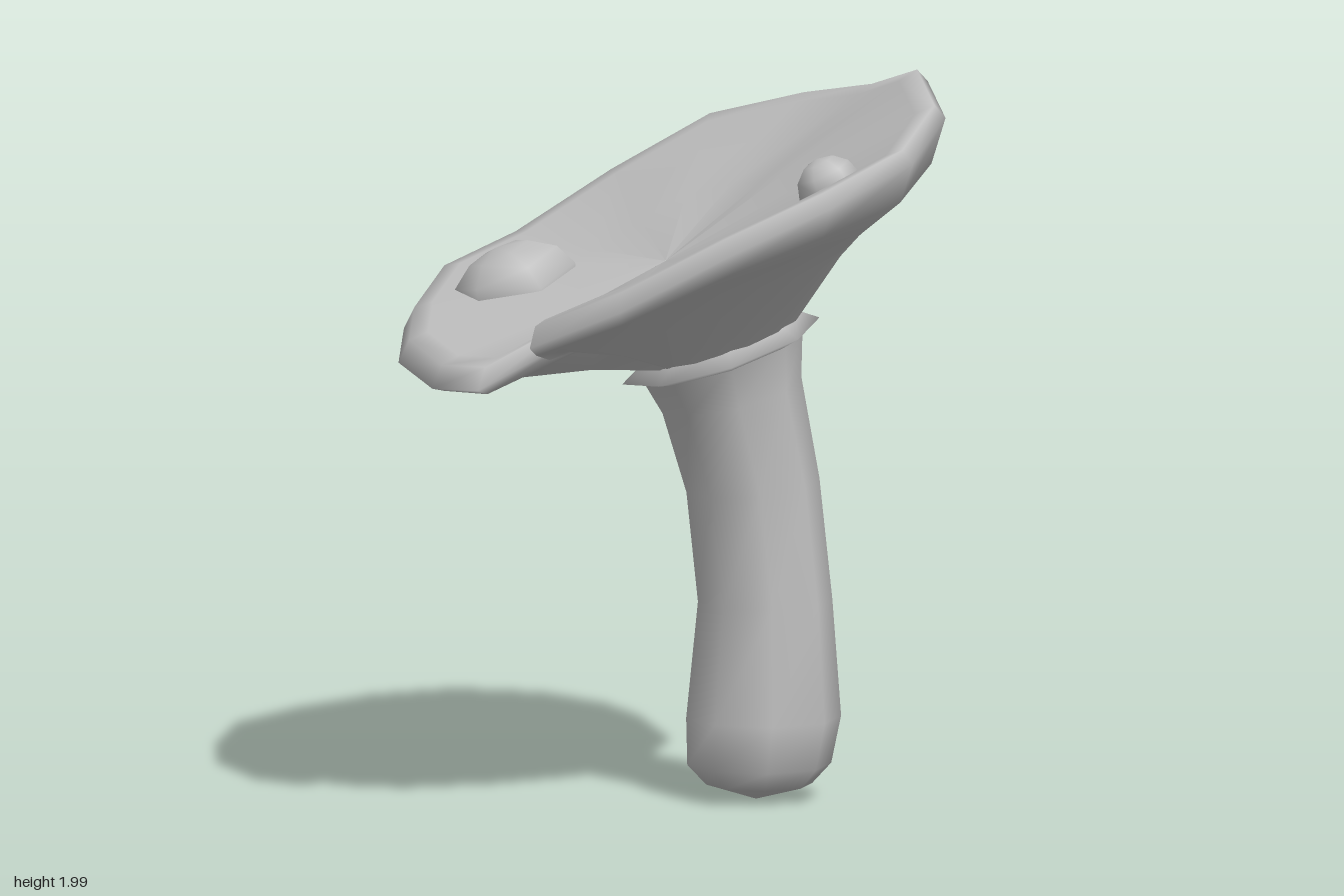
import * as THREE from 'three';

const V = (x, y, z) => new THREE.Vector3(x, y, z);

// Skin a list of equal-length rings, given bottom to top, counterclockwise from above
function loft(rings) {
  const n = rings[0].length, index = [];
  for (let i = 0; i < rings.length - 1; i++) {
    for (let j = 0; j < n; j++) {
      const k = (j + 1) % n;
      const a = i * n + j, b = i * n + k, c = a + n, d = b + n;
      index.push(a, b, d, a, d, c);
    }
  }
  const geo = new THREE.BufferGeometry().setFromPoints(rings.flat());
  geo.setIndex(index);
  geo.computeVertexNormals();
  return geo;
}

// Tilted circle: slopes sx and sz raise it towards +x and +z
function circle(x, y, z, r, sx = 0, sz = 0, sides = 8) {
  return Array.from({ length: sides }, (_, i) => {
    const a = ((i + 0.5) / sides) * Math.PI * 2;
    const dx = Math.cos(a) * r, dz = -Math.sin(a) * r;
    return V(x + dx, y + dx * sx + dz * sz, z + dz);
  });
}

// Cap edge, starting at the inner end of the notch
const RIM = [
  [-0.38, 1.35, 0.208], [-0.55, 1.33, 0.308], [-0.62, 1.35, 0.358], [-0.48, 1.47, 0.61],
  [-0.23, 1.63, 0.78], [0.045, 1.75, 0.85], [0.375, 1.83, 0.71], [0.61, 1.91, 0.47],
  [0.72, 1.965, 0.17], [0.75, 1.88, -0.15], [0.7, 1.82, -0.455], [0.53, 1.74, -0.7],
  [0.285, 1.58, -0.835], [-0.01, 1.42, -0.86], [-0.31, 1.36, -0.735], [-0.545, 1.29, -0.485],
  [-0.7, 1.24, -0.235], [-0.755, 1.21, 0.055], [-0.7, 1.22, 0.212],
].map((p) => V(...p));

export function createModel() {
  const model = new THREE.Group();
  const grey = new THREE.MeshStandardMaterial({ color: 0xc0c0c0 });
  const add = (name, geo) => {
    const mesh = new THREE.Mesh(geo, grey);
    mesh.name = name;
    model.add(mesh);
    return mesh;
  };

  // Bent stem with a swollen, rounded foot
  add('stem', loft([
    circle(0.27, 0.005, 0.02, 0.001),
    circle(0.28, 0.045, 0.02, 0.145),
    circle(0.28, 0.1, 0.02, 0.197),
    circle(0.288, 0.23, 0.03, 0.212),
    circle(0.29, 0.55, 0.035, 0.184),
    circle(0.252, 0.87, 0.035, 0.182, 0.1),
    circle(0.195, 1.12, 0.02, 0.19, 0.25, 0.05),
    circle(0.165, 1.24, 0.02, 0.22, 0.31, 0.1),
  ]));

  // Thin flared collar below the cap
  add('collar', loft([
    circle(0.165, 1.22, 0.025, 0.19, 0.31, 0.1),
    circle(0.155, 1.245, 0.03, 0.27, 0.31, 0.1),
    circle(0.16, 1.29, 0.025, 0.2, 0.31, 0.1),
  ]));

  // Tilted, slightly dished cap: flared underneath, rounded at the edge, with one notch
  const centre = V(0, 1.53, 0);
  const inset = (p, t, dy) => p.clone().lerp(centre, t).add(V(0, dy, 0));
  const neck = RIM.map((p) => {
    const d = V(p.x - 0.16, 0, p.z - 0.02).setLength(0.21);
    return V(0.16 + d.x, 1.27 + d.x * 0.31 + d.z * 0.1, 0.02 + d.z);
  });
  const drop = (p) => 0.07 + 0.06 * p.x;
  const under = RIM.map((p) => inset(p, 0.2, -1.5 * drop(p)));
  // The flare is hollowed, fading out beside the notch
  const notch = V(-0.65, 1.3, 0.25);
  const flare = neck.map((p, i) => {
    const lift = (0.06 - 0.06 * RIM[i].x) * Math.min(1, RIM[i].distanceTo(notch) / 0.9);
    return p.clone().lerp(under[i], 0.48).add(V(0, lift, 0));
  });
  add('cap', loft([
    neck,
    flare,
    under,
    RIM.map((p) => inset(p, 0.05, -drop(p))),
    RIM,
    RIM.map((p) => inset(p, 0.04, 0.05)),
    RIM.map((p) => inset(p, 0.11, 0.05)),
    RIM.map((p) => inset(p, 0.55, 0)),
    RIM.map((p) => inset(p, 0.999, -0.03)),
  ]));

  // Six-sided domed warts lying on the cap
  const up = V(-0.43, 1, -0.18).normalize();
  for (const [name, x, y, z, r, h, turn] of [
    ['largeWart', -0.26, 1.39, -0.37, 0.18, 0.13, 0.45],
    ['smallWart', 0.225, 1.755, 0.515, 0.09, 0.085, 0.7],
  ]) {
    const dome = new THREE.SphereGeometry(1, 6, 4, 0, Math.PI * 2, 0, Math.PI * 0.65);
    const wart = add(name, dome.rotateY(turn).scale(r, h, r));
    wart.position.set(x, y, z);
    wart.quaternion.setFromUnitVectors(V(0, 1, 0), up);
  }
  return model;
}
